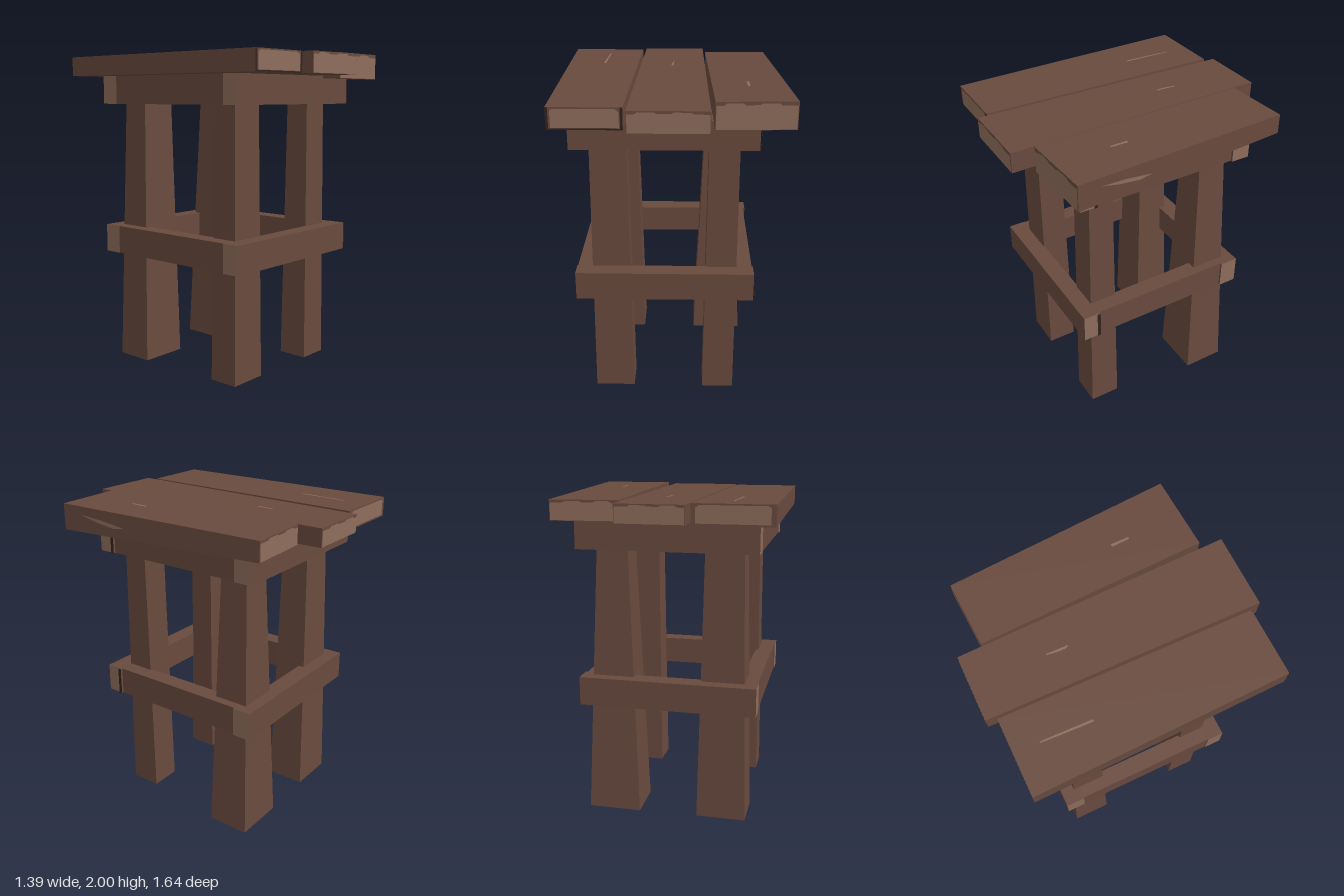
import * as THREE from 'three';

const wood = new THREE.MeshStandardMaterial({ color: 0x694a3e });
wood.name = 'brown wood';
const bare = new THREE.MeshStandardMaterial({ color: 0x8e6d5b, side: THREE.DoubleSide });
bare.name = 'bare end grain';
const edge = new THREE.MeshStandardMaterial({ color: 0x33231e, side: THREE.DoubleSide });
edge.name = 'dark worn edge';

// Trilinear map of the unit cube onto a tapered beam.
// Corners are [x, y, z] in the order x fastest, then y, then z (back to front).
function beamMap(c) {
  return (u, v, w) => {
    const p = new THREE.Vector3();
    c.forEach((k, i) => {
      const f = (i & 1 ? u : 1 - u) * (i & 2 ? v : 1 - v) * (i & 4 ? w : 1 - w);
      p.x += k[0] * f;
      p.y += k[1] * f;
      p.z += k[2] * f;
    });
    return p;
  };
}

// Move every vertex of a geometry by a rule and rebuild its flat normals
function warp(geometry, rule) {
  const pos = geometry.attributes.position;
  for (let i = 0; i < pos.count; i++) {
    const p = rule(pos.getX(i), pos.getY(i), pos.getZ(i));
    pos.setXYZ(i, p.x, p.y, p.z);
  }
  geometry.computeVertexNormals();
  return geometry;
}

function beam(name, map, material = wood) {
  const geometry = warp(new THREE.BoxGeometry(1, 1, 1), (x, y, z) => map(x + 0.5, y + 0.5, z + 0.5));
  const mesh = new THREE.Mesh(geometry, material);
  mesh.name = name;
  return mesh;
}

// Painted patch: an outline in face coordinates, laid just outside one face
const faces = {
  front: (s, t) => [s, t, 1.0015],
  back: (s, t) => [s, t, -0.0015],
  right: (s, t) => [1.006, t, s],
  top: (s, t) => [s, 1.02, t],
};
function patch(name, map, face, outline, material = bare) {
  const shape = new THREE.Shape(outline.map(([s, t]) => new THREE.Vector2(s, t)));
  const mesh = new THREE.Mesh(warp(new THREE.ShapeGeometry(shape), (x, y) => map(...faces[face](x, y))), material);
  mesh.name = name;
  return mesh;
}

// Plank from four top-view corners and its heights at the back and front
function plankMap([bl, br, fr, fl], [b0, b1], [f0, f1]) {
  const at = (p, y) => [p[0], y, p[1]];
  return beamMap([at(bl, b0), at(br, b0), at(bl, b1), at(br, b1), at(fl, f0), at(fr, f0), at(fl, f1), at(fr, f1)]);
}

// Leg from bottom and top rectangles [x0, x1, z0, z1]
function legMap(b, t, top) {
  const c = [];
  for (const z of [2, 3])
    for (const [r, y] of [[b, 0], [t, top]])
      for (const x of [0, 1]) c.push([r[x], y, r[z]]);
  return beamMap(c);
}

export function createModel() {
  const model = new THREE.Group();
  model.name = 'woodenStool';

  // Seat planks, slightly crooked, with chipped pale ends
  const chipped = [[0.01, 0.02], [0.99, 0.02], [0.99, 0.86], [0.8, 0.86], [0.77, 0.94], [0.56, 0.94],
    [0.53, 0.88], [0.36, 0.88], [0.33, 0.95], [0.14, 0.95], [0.1, 0.86], [0.01, 0.86]];
  const worn = [[0.06, 0.09], [0.95, 0.09], [0.95, 0.8], [0.9, 0.93], [0.1, 0.93], [0.06, 0.85]];
  const planks = [
    {
      name: 'leftPlank', corners: [[-0.695, -0.76], [-0.23, -0.76], [-0.255, 0.757], [-0.67, 0.757]],
      back: [1.86, 1.98], front: [1.86, 1.985], end: worn,
      scratch: [[0.53, 0.1], [0.55, 0.1], [0.53, 0.3], [0.5, 0.3], [0.51, 0.22]],
    },
    {
      name: 'middlePlank', corners: [[-0.21, -0.82], [0.19, -0.82], [0.215, 0.82], [-0.235, 0.82]],
      back: [1.865, 1.975], front: [1.86, 1.985], end: chipped,
      scratch: [[0.5, 0.27], [0.52, 0.27], [0.51, 0.35], [0.48, 0.34], [0.48, 0.31]],
    },
    {
      name: 'rightPlank', corners: [[0.205, -0.675], [0.61, -0.695], [0.692, 0.67], [0.24, 0.69]],
      back: [1.86, 1.98], front: [1.84, 2.0], end: chipped,
      scratch: [[0.47, 0.67], [0.51, 0.67], [0.5, 0.75], [0.47, 0.75]],
    },
  ];
  for (const p of planks) {
    const map = plankMap(p.corners, p.back, p.front);
    model.add(
      beam(p.name, map),
      patch(p.name + 'FrontEnd', map, 'front', p.end),
      patch(p.name + 'BackEnd', map, 'back', p.end),
      patch(p.name + 'Scratch', map, 'top', p.scratch),
    );
    if (p.name === 'rightPlank')
      model.add(patch('sideScratch', map, 'right', [[0.9, 0.68], [0.78, 0.6], [0.66, 0.43], [0.72, 0.36], [0.82, 0.5]]));
    if (p.name === 'leftPlank') // dark worn rim around the front end
      [[0, 0, 1, 0.07], [0, 0, 0.035, 1], [0.965, 0, 1, 1]].forEach(([a, b, c, d]) =>
        model.add(patch('wornRim', map, 'front', [[a, b], [c, b], [c, d], [a, d]], edge)));
  }

  // Tapered legs, the back pair thicker
  const legs = {
    frontLeftLeg: [[0.2, 0.4, 0.28, 0.475], [0.22, 0.4, 0.305, 0.455]],
    frontRightLeg: [[-0.5, -0.25, 0.28, 0.47], [-0.485, -0.27, 0.305, 0.455]],
    backLeftLeg: [[0.145, 0.477, -0.535, -0.265], [0.22, 0.4, -0.47, -0.3]],
    backRightLeg: [[-0.53, -0.222, -0.52, -0.27], [-0.485, -0.26, -0.47, -0.3]],
  };
  for (const [name, [bottom, top]] of Object.entries(legs)) model.add(beam(name, legMap(bottom, top, 1.85)));

  // Two rings of rails: long front and back rails with pale ends, side rails between
  const endGrain = [bare, bare, wood, wood, wood, wood];
  for (const [ring, y0, y1] of [['lower', 0.71, 0.888], ['upper', 1.682, 1.858]]) {
    const rail = (name, x0, x1, z0, z1, material) => {
      const c = [];
      for (const z of [z0, z1]) for (const y of [y0, y1]) for (const x of [x0, x1]) c.push([x, y, z]);
      const map = beamMap(c);
      model.add(beam(ring + name, map, material));
      return map;
    };
    const front = rail('FrontRail', -0.59, 0.503, 0.457, 0.567, endGrain);
    rail('BackRail', -0.59, 0.508, -0.578, -0.46, endGrain);
    rail('LeftRail', 0.385, 0.495, -0.46, 0.457);
    rail('RightRail', -0.585, -0.475, -0.46, 0.457);
    for (const [a, b] of [[0, 0.07], [0.8, 1]])
      model.add(patch(ring + 'RailWornEdge', front, 'right', [[a, 0], [b, 0], [b, 1], [a, 1]].map(([s, t]) => [1 - s, t]), b === 1 ? edge : wood));
  }
  return model;
}
